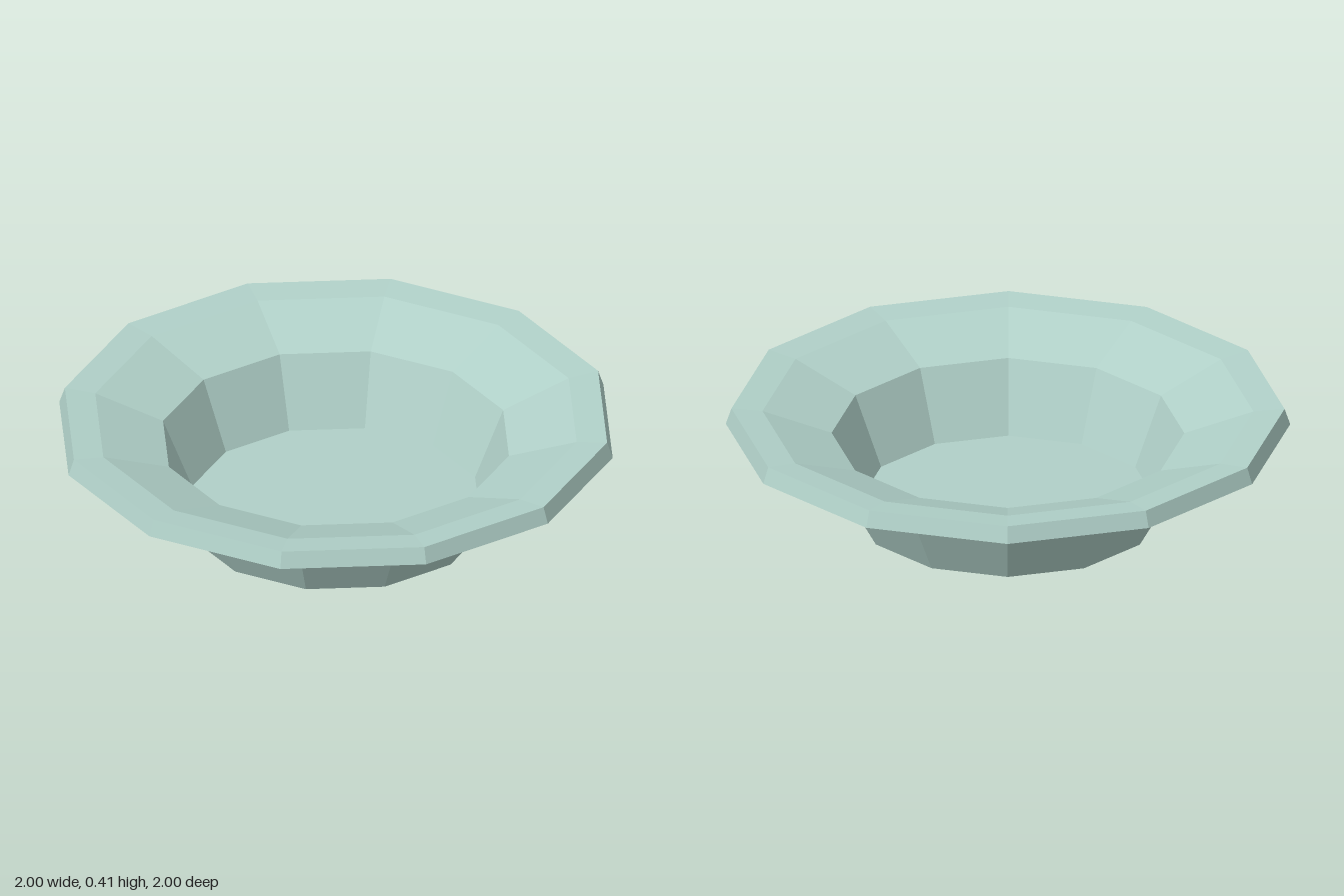
import * as THREE from 'three';

const SIDES = 12;

export function createModel() {
  const model = new THREE.Group();
  model.name = 'bowl';

  const glaze = new THREE.MeshStandardMaterial({ color: 0xb0d0c8 });
  glaze.name = 'pale green glaze';
  glaze.flatShading = true;

  // Turns a [radius, height] profile into a faceted ring; profiles run from outer foot to inner floor
  function turned(name, profile) {
    const points = profile.map(([r, y]) => new THREE.Vector2(r, y));
    const mesh = new THREE.Mesh(new THREE.LatheGeometry(points, SIDES), glaze);
    mesh.name = name;
    model.add(mesh);
  }

  // Underside and sloping outer wall
  turned('outerWall', [[0, 0], [0.54, 0], [0.71, 0.31]]);

  // Wide rim: underside, bevelled edge, top and inward slope
  turned('rim', [[0.71, 0.31], [1, 0.345], [0.98, 0.405], [0.87, 0.395], [0.625, 0.31]]);

  // Inner wall and flat floor
  turned('well', [[0.625, 0.31], [0.52, 0.055], [0, 0.055]]);

  return model;
}
